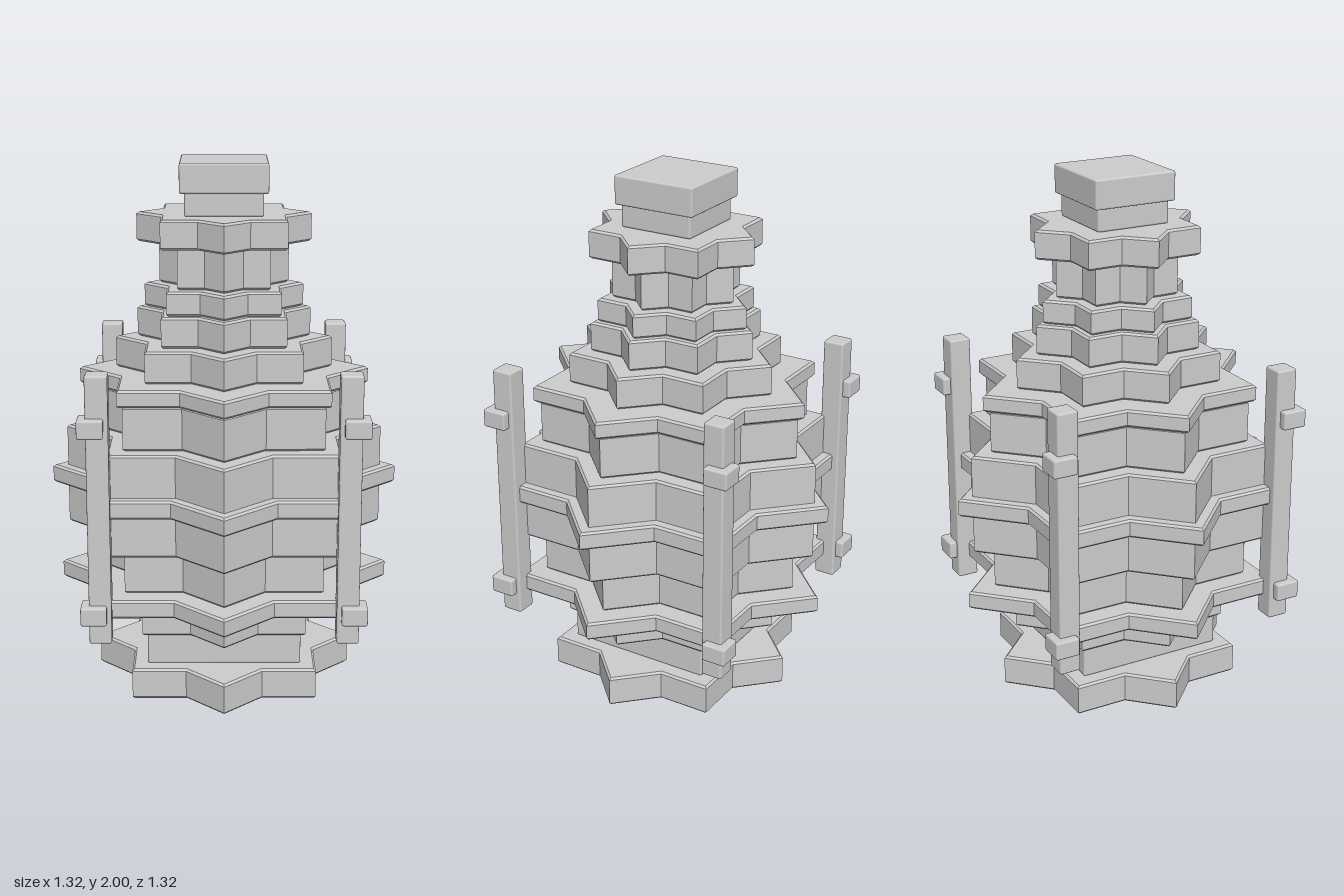
import * as THREE from 'three';
import { RoundedBoxGeometry } from 'three/addons/geometries/RoundedBoxGeometry.js';

const BEVEL = 0.008;
const stone = new THREE.MeshStandardMaterial({ color: 0xcccccc });
stone.name = 'pale grey stone';

// Eight-pointed star slab: outline of a square and the same square turned 45 degrees
function starSlab(name, y0, y1, tip) {
  const notch = (tip * Math.SQRT1_2) / Math.cos(Math.PI / 8);
  const points = [];
  for (let i = 0; i < 16; i++) {
    const r = i % 2 ? notch : tip;
    const a = (i * Math.PI) / 8;
    points.push(new THREE.Vector2(r * Math.cos(a), r * Math.sin(a)));
  }
  const geometry = new THREE.ExtrudeGeometry(new THREE.Shape(points), {
    depth: y1 - y0 - 2 * BEVEL,
    bevelThickness: BEVEL, bevelSize: BEVEL, bevelOffset: -BEVEL, bevelSegments: 1,
  });
  geometry.translate(0, 0, BEVEL).rotateX(-Math.PI / 2);
  const mesh = new THREE.Mesh(geometry, stone);
  mesh.position.y = y0;
  mesh.name = name;
  return mesh;
}

// Square block with softened edges
function block(name, y0, y1, half, x = 0, z = 0) {
  const geometry = new RoundedBoxGeometry(2 * half, y1 - y0, 2 * half, 2, BEVEL);
  const mesh = new THREE.Mesh(geometry, stone);
  mesh.position.set(x, (y0 + y1) / 2, z);
  mesh.name = name;
  return mesh;
}

export function createModel() {
  const model = new THREE.Group();
  model.name = 'starTower';

  // Star tiers from the ground up: name, bottom, top, tip radius
  const tiers = [
    ['base', 0, 0.12, 0.49],
    ['lowerTier', 0.24, 0.365, 0.436],
    ['lowerRim', 0.365, 0.435, 0.631],
    ['lowerBody', 0.435, 0.595, 0.521],
    ['middleBody', 0.595, 0.985, 0.602],
    ['middleBand', 0.755, 0.825, 0.66],
    ['upperBody', 0.985, 1.15, 0.521],
    ['upperRim', 1.15, 1.215, 0.548],
    ['shoulder', 1.215, 1.335, 0.409],
    ['lowerCollar', 1.335, 1.45, 0.326],
    ['upperCollar', 1.45, 1.54, 0.298],
    ['neck', 1.54, 1.695, 0.242],
    ['crown', 1.695, 1.805, 0.326],
  ];
  for (const tier of tiers) model.add(starSlab(...tier));

  // Square foot and cap
  model.add(block('foot', 0.12, 0.24, 0.29));
  model.add(block('capStem', 1.805, 1.89, 0.145));
  model.add(block('cap', 1.89, 2, 0.163));

  // Four corner posts, each with two outward blocks
  for (const sx of [-1, 1]) {
    for (const sz of [-1, 1]) {
      const corner = new THREE.Group();
      corner.name = 'cornerPost' + (sz > 0 ? 'Front' : 'Back') + (sx > 0 ? 'Left' : 'Right');
      corner.add(block('post', 0.285, 1.295, 0.041, sx * 0.452, sz * 0.452));
      corner.add(block('lowerPostBlock', 0.365, 0.435, 0.0475, sx * 0.475, sz * 0.475));
      corner.add(block('upperPostBlock', 1.07, 1.14, 0.0475, sx * 0.475, sz * 0.475));
      model.add(corner);
    }
  }
  return model;
}
